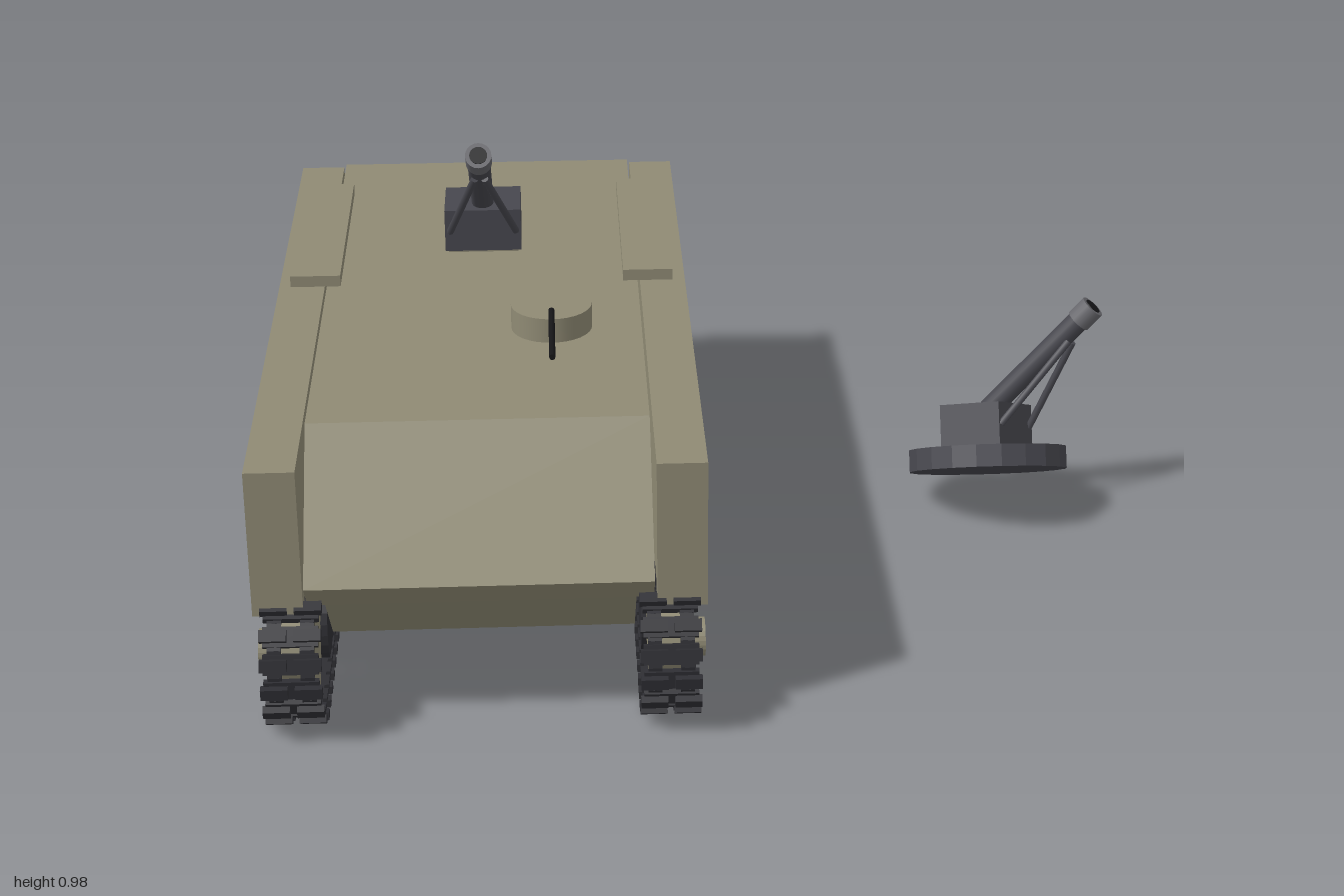
import * as THREE from 'three';
import { mergeGeometries } from 'three/addons/utils/BufferGeometryUtils.js';

const mat = (name, color, extra = {}) => Object.assign(new THREE.MeshStandardMaterial({ color, ...extra }), { name });

export function createModel() {
  const olive = mat('olive paint', 0x8f8a74);
  const gunmetal = mat('gunmetal', 0x47474e);
  const rubber = mat('dark track', 0x2e2e33);
  const muzzleGrey = mat('muzzle grey', 0x68686d);
  const black = mat('bore black', 0x161618);

  const root = new THREE.Group();
  const CX = -0.516; // vehicle centre line

  const add = (parent, name, geo, material, x = 0, y = 0, z = 0) => {
    const m = new THREE.Mesh(geo, material);
    m.name = name;
    m.position.set(x, y, z);
    parent.add(m);
    return m;
  };
  const box = (parent, name, material, w, h, d, x, y, z) =>
    add(parent, name, new THREE.BoxGeometry(w, h, d), material, x, y, z);

  // Cylinder between two points
  const rod = (parent, name, material, a, b, r, sides = 16, open = false) => {
    const va = new THREE.Vector3(...a), vb = new THREE.Vector3(...b);
    const dir = vb.clone().sub(va);
    const m = add(parent, name, new THREE.CylinderGeometry(r, r, dir.length(), sides, 1, open), material);
    m.position.copy(va).add(vb).multiplyScalar(0.5);
    m.quaternion.setFromUnitVectors(new THREE.Vector3(0, 1, 0), dir.normalize());
    return m;
  };

  // Side profile of (z, y) points extruded across x
  const sideProfile = (parent, name, points, width, x) => {
    const shape = new THREE.Shape(points.map(p => new THREE.Vector2(...p)));
    const geo = new THREE.ExtrudeGeometry(shape, { depth: width, bevelEnabled: false });
    geo.translate(0, 0, -width / 2).rotateY(-Math.PI / 2);
    return add(parent, name, geo, olive, x);
  };

  // Disc or ring along local z, from z0 to z1, with optional round holes
  const disc = (parent, name, material, outline, z0, z1, holes = []) => {
    const shape = new THREE.Shape(outline);
    for (const [hx, hy, r] of holes) shape.holes.push(new THREE.Path().absarc(hx, hy, r, 0, Math.PI * 2, true));
    const geo = new THREE.ExtrudeGeometry(shape, { depth: z1 - z0, bevelEnabled: false, curveSegments: 12 });
    return add(parent, name, geo, material, 0, 0, z0);
  };
  const circle = (r, n = 24) => Array.from({ length: n }, (_, i) =>
    new THREE.Vector2(r * Math.cos(i / n * Math.PI * 2), r * Math.sin(i / n * Math.PI * 2)));

  // ---- Vehicle body ----
  const vehicle = new THREE.Group();
  vehicle.name = 'vehicle';
  root.add(vehicle);

  sideProfile(vehicle, 'upperHull',
    [[0.67, 0.632], [-0.91, 0.632], [-0.93, 0.29], [0.853, 0.29], [0.925, 0.365]], 0.74, CX);
  sideProfile(vehicle, 'lowerHull',
    [[0.853, 0.29], [-0.93, 0.29], [-0.72, 0.137], [0.7, 0.137]], 0.665, CX);

  for (const s of [-1, 1]) {
    box(vehicle, 'sponson', olive, 0.108, 0.338, 1.8, CX + s * 0.43, 0.456, -0.01);
    box(vehicle, 'roofBin', olive, 0.118, 0.027, 0.61, CX + s * 0.394, 0.657, -0.362);
  }

  // Roof hatch and gun
  add(vehicle, 'hatch', new THREE.CylinderGeometry(0.093, 0.093, 0.06, 32), olive, -0.353, 0.66, 0.18);
  rod(vehicle, 'hatchGun', black, [-0.353, 0.705, 0.255], [-0.353, 0.705, 0.515], 0.007, 8);
  box(vehicle, 'mortarPedestal', olive, 0.17, 0.02, 0.15, CX, 0.636, -0.36);

  // ---- Running gear ----
  const roadWheel = parent => {
    disc(parent, 'tyre', rubber, circle(0.1), -0.055, 0.03);
    disc(parent, 'rim', olive, circle(0.1), 0.03, 0.05, [[0, 0, 0.077]]);
    const holes = Array.from({ length: 8 }, (_, i) =>
      [0.046 * Math.cos(i * Math.PI / 4), 0.046 * Math.sin(i * Math.PI / 4), 0.012]);
    disc(parent, 'wheelDisc', olive, circle(0.068), 0.03, 0.045, holes);
    disc(parent, 'hub', olive, circle(0.026, 16), 0.045, 0.066);
  };
  const sprocket = parent => {
    const teeth = [];
    for (let i = 0; i < 14; i++) {
      [[0, 0.102], [0.5, 0.102], [0.6, 0.119], [0.9, 0.119]].forEach(([f, r]) => {
        const a = (i + f) / 14 * Math.PI * 2;
        teeth.push(new THREE.Vector2(r * Math.cos(a), r * Math.sin(a)));
      });
    }
    disc(parent, 'toothedDisc', olive, teeth, 0.025, 0.045);
    disc(parent, 'innerToothedDisc', olive, teeth, -0.045, -0.025);
    disc(parent, 'drum', olive, circle(0.085), -0.025, 0.025);
    disc(parent, 'hub', olive, circle(0.042), 0.045, 0.078);
  };
  const idler = parent => {
    disc(parent, 'idlerDisc', olive, circle(0.097), -0.045, 0.05);
    disc(parent, 'hub', olive, circle(0.028, 16), 0.05, 0.078);
  };

  // Track loop: two straights joined by half circles
  const R = 0.136, HALF = 0.822, TY = 0.163, COUNT = 72;
  const straight = 2 * HALF, arc = Math.PI * R, loop = 2 * (straight + arc);
  const trackPoint = d => { // returns [z, y, outward angle in the z-y plane]
    if (d < straight) return [HALF - d, TY + R, Math.PI / 2];
    d -= straight;
    if (d < arc) {
      const a = Math.PI / 2 + d / R;
      return [-HALF + R * Math.cos(a), TY + R * Math.sin(a), a];
    }
    d -= arc;
    if (d < straight) return [-HALF + d, TY - R, -Math.PI / 2];
    const a = -Math.PI / 2 + (d - straight) / R;
    return [HALF + R * Math.cos(a), TY + R * Math.sin(a), a];
  };
  // One shoe: plate, two ground pads and connecting links (y is outward)
  const shoe = mergeGeometries([
    new THREE.BoxGeometry(0.118, 0.014, 0.044),
    ...[-1, 1].map(s => new THREE.BoxGeometry(0.058, 0.018, 0.026).translate(s * 0.0365, 0.013, 0)),
    ...[-1, 1].map(s => new THREE.BoxGeometry(0.03, 0.009, 0.06).translate(s * 0.035, -0.002, 0)),
  ]);
  const shoes = [];
  for (let i = 0; i < COUNT; i++) {
    const [z, y, a] = trackPoint(i / COUNT * loop);
    shoes.push(shoe.clone().rotateX(Math.PI / 2 - a).translate(0, y, z));
  }
  const trackGeo = mergeGeometries(shoes);

  for (const s of [-1, 1]) {
    const x = CX + s * 0.403;
    add(vehicle, 'track', trackGeo, rubber, x);
    const wheel = (name, build, y, z) => {
      const g = new THREE.Group();
      g.name = name;
      g.position.set(x, y, z);
      g.rotation.y = s * Math.PI / 2;
      build(g);
      vehicle.add(g);
    };
    wheel('driveSprocket', sprocket, 0.17, 0.82);
    wheel('idlerWheel', idler, 0.17, -0.817);
    for (let i = -2; i <= 2; i++) wheel('roadWheel', roadWheel, 0.106, 0.003 + i * 0.281);
  }

  // ---- Mortar, aimed along +z from a box mount at the origin ----
  const makeMortar = name => {
    const g = new THREE.Group();
    g.name = name;
    root.add(g);
    box(g, 'mount', gunmetal, 0.185, 0.105, 0.16, 0, 0.0525, 0);
    const at = t => [0, 0.095 + 0.23 * t, 0.01 + 0.285 * t];
    rod(g, 'barrel', gunmetal, at(0), at(0.99), 0.027, 20);
    add(g, 'breech', new THREE.SphereGeometry(0.027, 16, 10), gunmetal, ...at(0));
    rod(g, 'muzzleCollar', muzzleGrey, at(0.87), at(1.01), 0.031, 20);
    rod(g, 'bore', black, at(1.0), at(1.015), 0.021, 20);
    for (const s of [-1, 1]) rod(g, 'bipodLeg', gunmetal, [s * 0.08, 0.05, 0.078], [s * 0.012, 0.245, 0.235], 0.009, 8);
    return g;
  };

  makeMortar('roofMortar').position.set(CX, 0.637, -0.36);

  // Dismounted mortar on a tilted round base plate
  const ground = makeMortar('groundMortar');
  ground.rotation.set(-0.517, 0.972, 0);
  const up = new THREE.Vector3(0, 1, 0).applyEuler(ground.rotation);
  ground.position.set(0.716, 0.134, -0.077).addScaledVector(up, 0.03);
  const plate = new THREE.CylinderGeometry(0.195, 0.195, 0.054, 20).toNonIndexed();
  plate.computeVertexNormals();
  add(ground, 'basePlate', plate, gunmetal, 0, -0.03, 0);

  return root;
}
